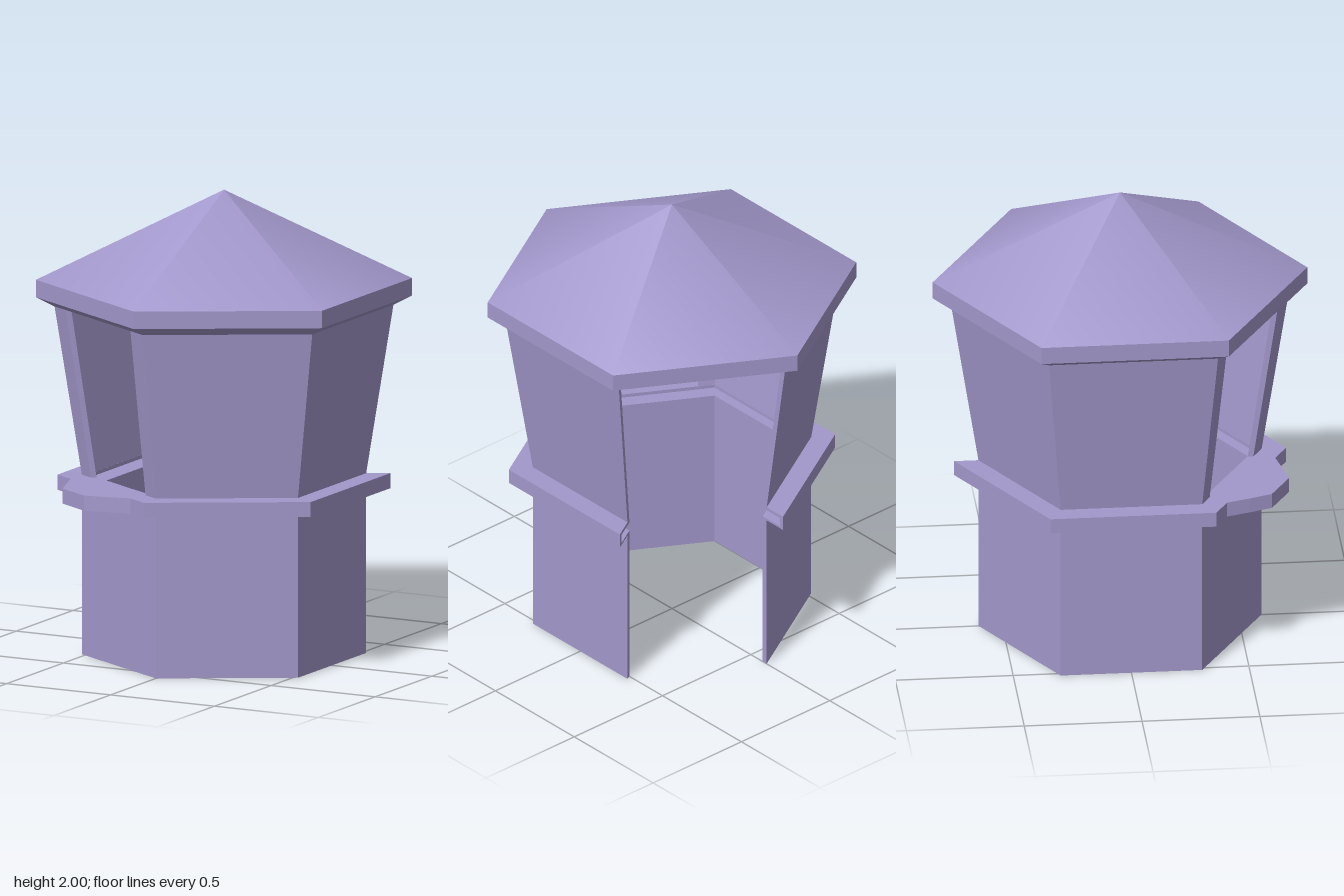
import * as THREE from 'three';

const LEDGE = 0.704; // ledge radius, measured to the hexagon corners

// Corners of a unit hexagon, going round from the back corner
const corner = (k) => {
  const a = Math.PI + k * Math.PI / 3;
  return { x: Math.sin(a), z: Math.cos(a), ledge: LEDGE };
};

// A point on the window face: f runs from -1 to 1 between its two corners
function onWindowFace(f, ledge = LEDGE) {
  const a = corner(2), b = corner(3), t = (f + 1) / 2;
  return { x: a.x + (b.x - a.x) * t, z: a.z + (b.z - a.z) * t, ledge };
}

// Sweeps a closed (radius, height) profile along the stations, with end caps
function sweep(stations, profile, capped = true) {
  const pos = [];
  const rings = stations.map((s) => profile(s.ledge).map(([r, y]) => [s.x * r, y, s.z * r]));
  const tri = (a, b, c) => pos.push(...a, ...b, ...c);
  for (let i = 0; i < rings.length - 1; i++) {
    const p = rings[i], q = rings[i + 1], n = p.length;
    for (let j = 0; j < n; j++) {
      const k = (j + 1) % n;
      tri(p[j], q[j], q[k]);
      tri(p[j], q[k], p[k]);
    }
  }
  if (capped) {
    const first = rings[0], last = rings[rings.length - 1];
    const flat = profile(stations[0].ledge).map(([r, y]) => new THREE.Vector2(r, y));
    for (const [a, b, c] of THREE.ShapeUtils.triangulateShape(flat, [])) {
      tri(first[a], first[b], first[c]);
      tri(last[a], last[c], last[b]);
    }
  }
  const g = new THREE.BufferGeometry();
  g.setAttribute('position', new THREE.Float32BufferAttribute(pos, 3));
  g.computeVertexNormals();
  return g;
}

export function createModel() {
  const model = new THREE.Group();
  model.name = 'kiosk';
  const lilac = new THREE.MeshStandardMaterial({ color: 0xa398cc, side: THREE.DoubleSide });
  lilac.name = 'lilac';
  const add = (name, geometry) => {
    const mesh = new THREE.Mesh(geometry, lilac);
    mesh.name = name;
    model.add(mesh);
    return mesh;
  };

  // Lower wall and hollow ledge, bulging into a counter below the window;
  // the back right face stays open as the doorway
  const counter = [[-0.69, LEDGE], [-0.42, 0.785], [-0.2, 0.861], [0.2, 0.861], [0.42, 0.785], [0.69, LEDGE]];
  const round = [
    corner(0), corner(1), corner(2),
    ...counter.map(([f, r]) => onWindowFace(f, r)),
    corner(3), corner(4), corner(5),
  ];
  add('lowerWallAndCounter', sweep(round, (r) => [
    [0.6, 0], [0.6, 0.71], [r, 0.71], [r, 0.775], [0.575, 0.775],
    [0.575, 0.76], [r - 0.02, 0.76], [r - 0.02, 0.72], [0.575, 0.72], [0.575, 0],
  ]));

  // Flaring upper walls on both sides of the window
  const wall = () => [[0.6, 0.77], [0.716, 1.5], [0.69, 1.5], [0.575, 0.77]];
  add('upperWallRight', sweep([corner(0), corner(1), corner(2), onWindowFace(-0.75)], wall));
  add('upperWallLeft', sweep([onWindowFace(0.72), corner(3), corner(4), corner(5)], wall));

  // Eaves all the way round
  const full = [0, 1, 2, 3, 4, 5, 6].map(corner);
  add('eaves', sweep(full, () => [
    [0.69, 1.5], [0.716, 1.5], [0.795, 1.54], [0.795, 1.615], [0.765, 1.615], [0.765, 1.55],
  ], false));

  // Softly shaded six-sided roof
  const roof = add('roof', new THREE.ConeGeometry(0.795, 0.385, 6, 1, true));
  roof.position.y = 1.615 + 0.385 / 2;

  return model;
}
